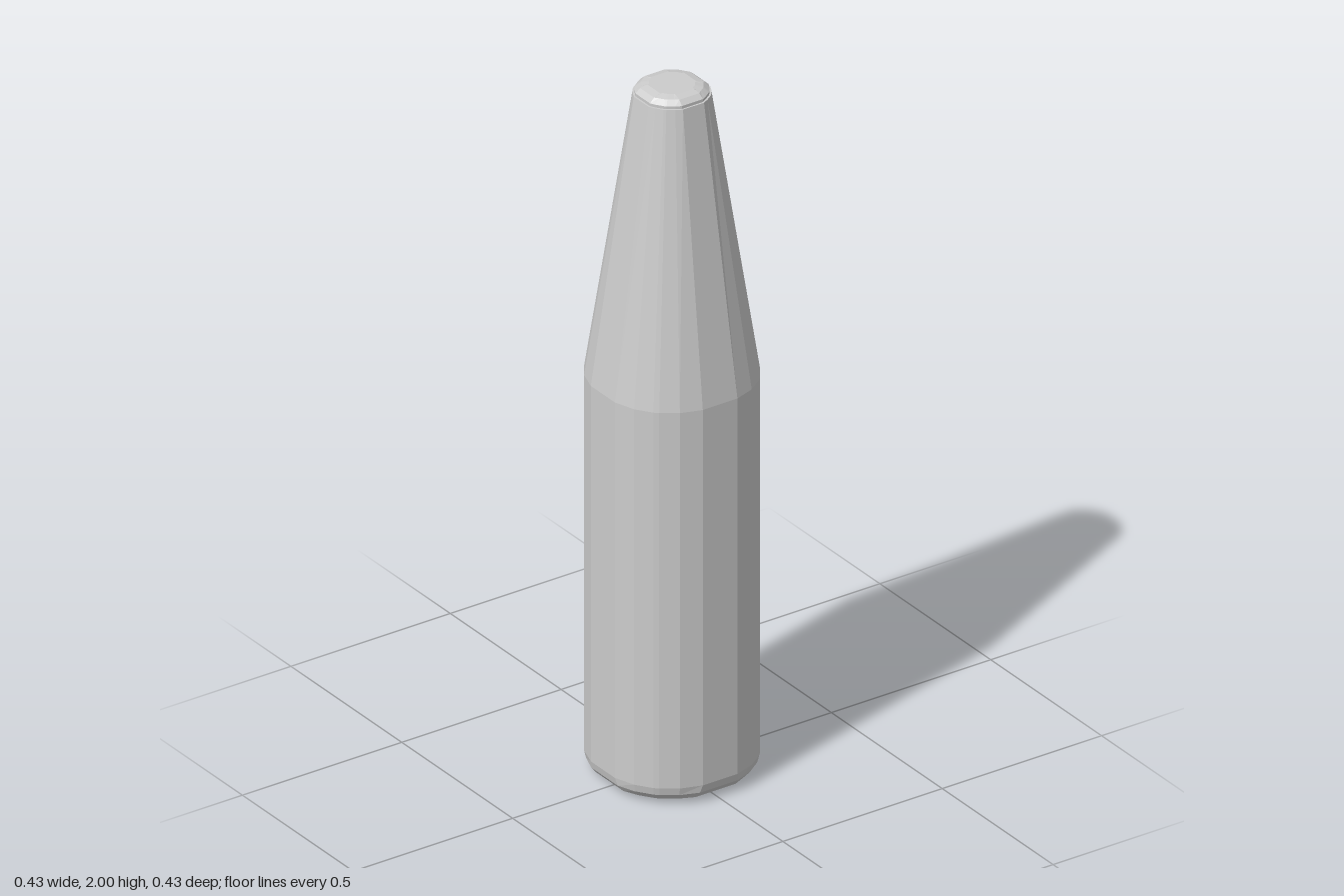
import * as THREE from 'three';

const material = new THREE.MeshStandardMaterial({ color: 0xcccccc, flatShading: true });

// Rounded-square ring: half-width r, flat side half-length f
function ring(r, y, f) {
  const quarter = [[r, -f], [r, f], [0.91 * r, 0.52 * r], [0.77 * r, 0.72 * r], [0.72 * r, 0.77 * r], [0.52 * r, 0.91 * r]];
  const points = [];
  for (let q = 0; q < 4; q++) {
    const c = Math.round(Math.cos(q * Math.PI / 2)), s = Math.round(Math.sin(q * Math.PI / 2));
    for (const [x, z] of quarter) points.push([x * c - z * s, y, x * s + z * c]);
  }
  return points;
}

// Skin a stack of rings from bottom to top, closing both ends
function loft(name, sections) {
  const rings = sections.map(([r, y, f = 0.25]) => ring(r, y, f * r));
  const n = rings[0].length, last = (rings.length - 1) * n;
  const positions = rings.flat(2), index = [];
  const bottom = rings.length * n, top = bottom + 1;
  positions.push(0, sections[0][1], 0, 0, sections[sections.length - 1][1], 0);
  for (let i = 0; i < n; i++) {
    const j = (i + 1) % n;
    for (let k = 0; k < last; k += n) {
      index.push(k + i, k + n + i, k + j, k + j, k + n + i, k + n + j);
    }
    index.push(bottom, i, j, top, last + j, last + i);
  }
  const geometry = new THREE.BufferGeometry();
  geometry.setAttribute('position', new THREE.Float32BufferAttribute(positions, 3));
  geometry.setIndex(index);
  geometry.computeVertexNormals();
  const mesh = new THREE.Mesh(geometry, material);
  mesh.name = name;
  return mesh;
}

export function createModel() {
  const group = new THREE.Group();
  group.name = 'taperedBottle';
  // Straight body with a rounded base and a long tapering neck
  group.add(loft('bodyAndNeck', [
    [0.165, 0, 0.36], [0.196, 0.014, 0.32], [0.212, 0.033, 0.28], [0.217, 0.055],
    [0.217, 1.155], [0.097, 1.975, 0.34],
  ]));
  // Bevelled tip seated just inside the neck
  group.add(loft('tipCap', [
    [0.092, 1.96, 0.36], [0.092, 1.983, 0.36], [0.078, 1.995, 0.4], [0.057, 2, 0.5],
  ]));
  return group;
}
